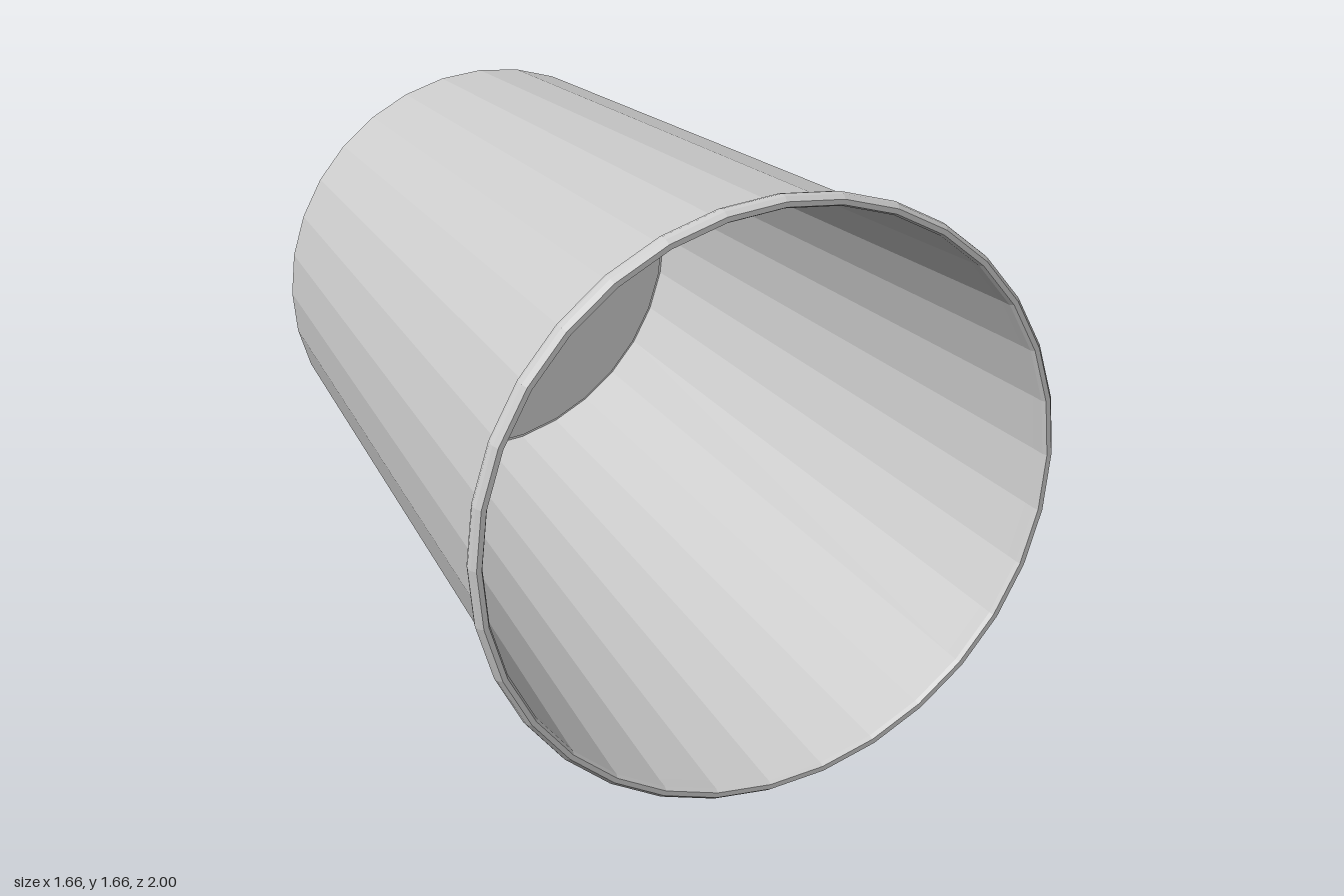
import * as THREE from 'three';

const SIDES = 32;
const RIM_RADIUS = 0.832;

export function createModel() {
  const group = new THREE.Group();
  group.name = 'cup';
  const material = new THREE.MeshStandardMaterial({
    color: 0xcccccc, flatShading: true, side: THREE.DoubleSide,
  });

  // Turns a [radius, z] profile about the lying cup's axis
  function turned(name, profile) {
    const points = profile.map(([r, z]) => new THREE.Vector2(r, z));
    const geometry = new THREE.LatheGeometry(points, SIDES);
    geometry.rotateX(Math.PI / 2);
    const mesh = new THREE.Mesh(geometry, material);
    mesh.name = name;
    mesh.position.y = RIM_RADIUS;
    group.add(mesh);
  }

  // Slightly recessed base with a narrow foot ring
  turned('base', [[0, -0.985], [0.628, -0.985], [0.628, -1], [0.642, -1]]);

  // Thin tapered wall, open at the front
  turned('wall', [[0.642, -1], [0.798, 0.95]]);

  // Rolled lip around the mouth
  turned('rim', [
    [0.798, 0.947], [0.816, 0.945], [0.828, 0.955], [RIM_RADIUS, 0.97],
    [0.83, 0.987], [0.82, 1], [0.806, 1], [0.8, 0.988], [0.798, 0.947],
  ]);

  return group;
}
